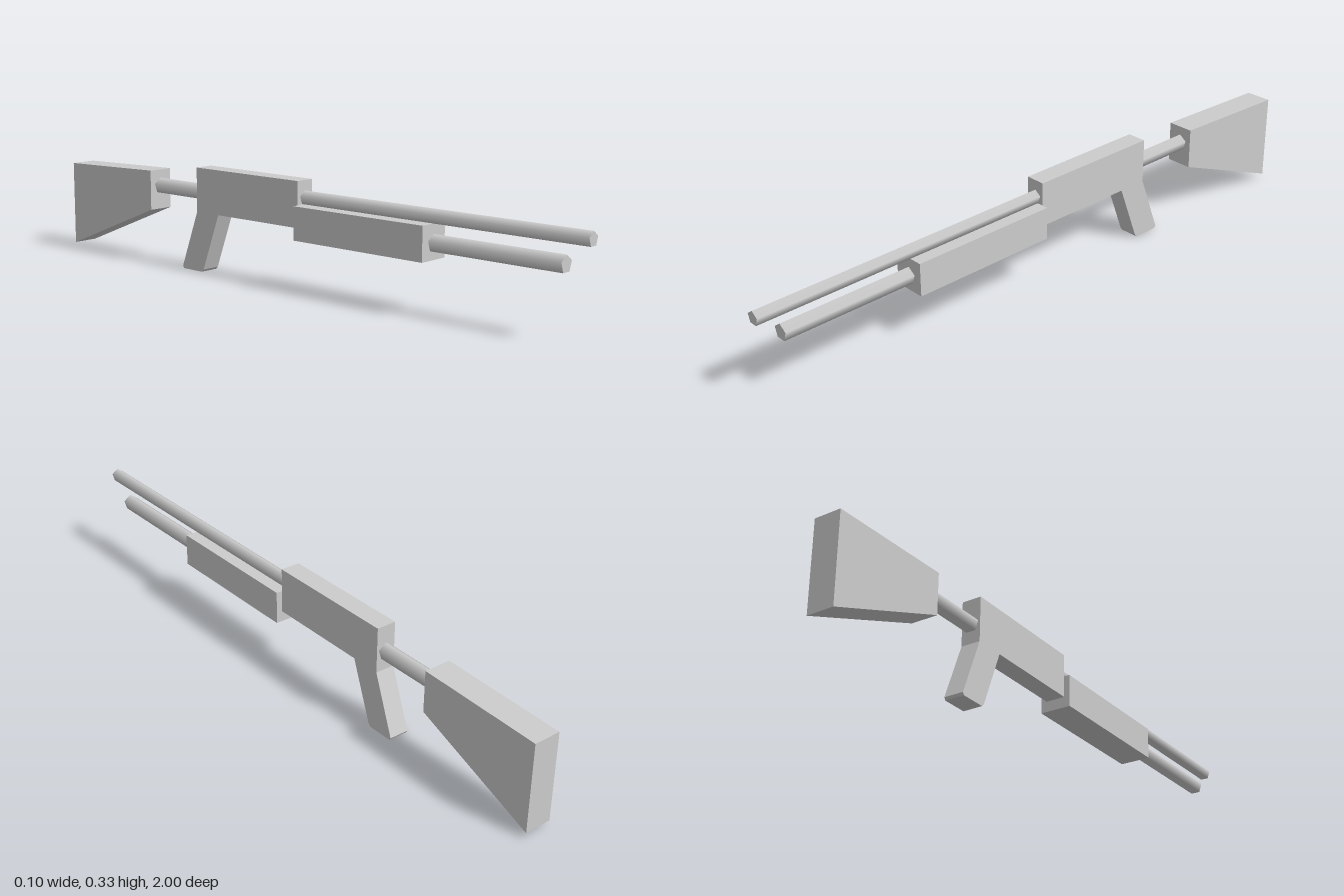
import * as THREE from 'three';

export function createModel() {
  const model = new THREE.Group();
  model.name = 'longGun';
  const grey = new THREE.MeshStandardMaterial({ color: 0xcccccc });
  grey.name = 'light grey';

  const add = (name, geometry) => {
    const mesh = new THREE.Mesh(geometry, grey);
    mesh.name = name;
    model.add(mesh);
    return mesh;
  };

  // Flat slab: side outline in [z, y], extruded evenly across x
  const slab = (name, halfWidth, points) => {
    const shape = new THREE.Shape(points.map(([z, y]) => new THREE.Vector2(z, y)));
    const geometry = new THREE.ExtrudeGeometry(shape, { depth: halfWidth * 2, bevelEnabled: false });
    geometry.translate(0, 0, -halfWidth).rotateY(-Math.PI / 2);
    return add(name, geometry);
  };

  // Five-sided rod along z with one corner pointing up
  const rod = (name, radius, y, zBack, zFront) => {
    const geometry = new THREE.CylinderGeometry(radius, radius, zFront - zBack, 5);
    geometry.rotateX(-Math.PI / 2);
    return add(name, geometry).position.set(0, y, (zFront + zBack) / 2);
  };

  // Receiver and raked grip in one outline, with chipped lower grip corners
  slab('receiverAndGrip', 0.031, [
    [0.03, 0.33], [0.03, 0.19], [-0.305, 0.19], [-0.374, 0.008], [-0.382, 0],
    [-0.464, 0], [-0.469, 0.008], [-0.4, 0.19], [-0.4, 0.33],
  ]);

  // Shoulder stock
  slab('stock', 0.042, [[-0.605, 0.302], [-0.605, 0.174], [-1, 0.017], [-1, 0.291]]);

  // Sliding fore-end
  const foreEnd = add('foreEnd', new THREE.BoxGeometry(0.1, 0.102, 0.475));
  foreEnd.position.set(0, 0.207, 0.2675);

  // Barrel, tube below it, and the rod joining receiver to stock
  rod('barrel', 0.0215, 0.2775, 0.02, 1);
  rod('lowerTube', 0.0255, 0.2035, 0.49, 0.925);
  rod('stockRod', 0.0255, 0.2495, -0.62, -0.39);

  return model;
}
